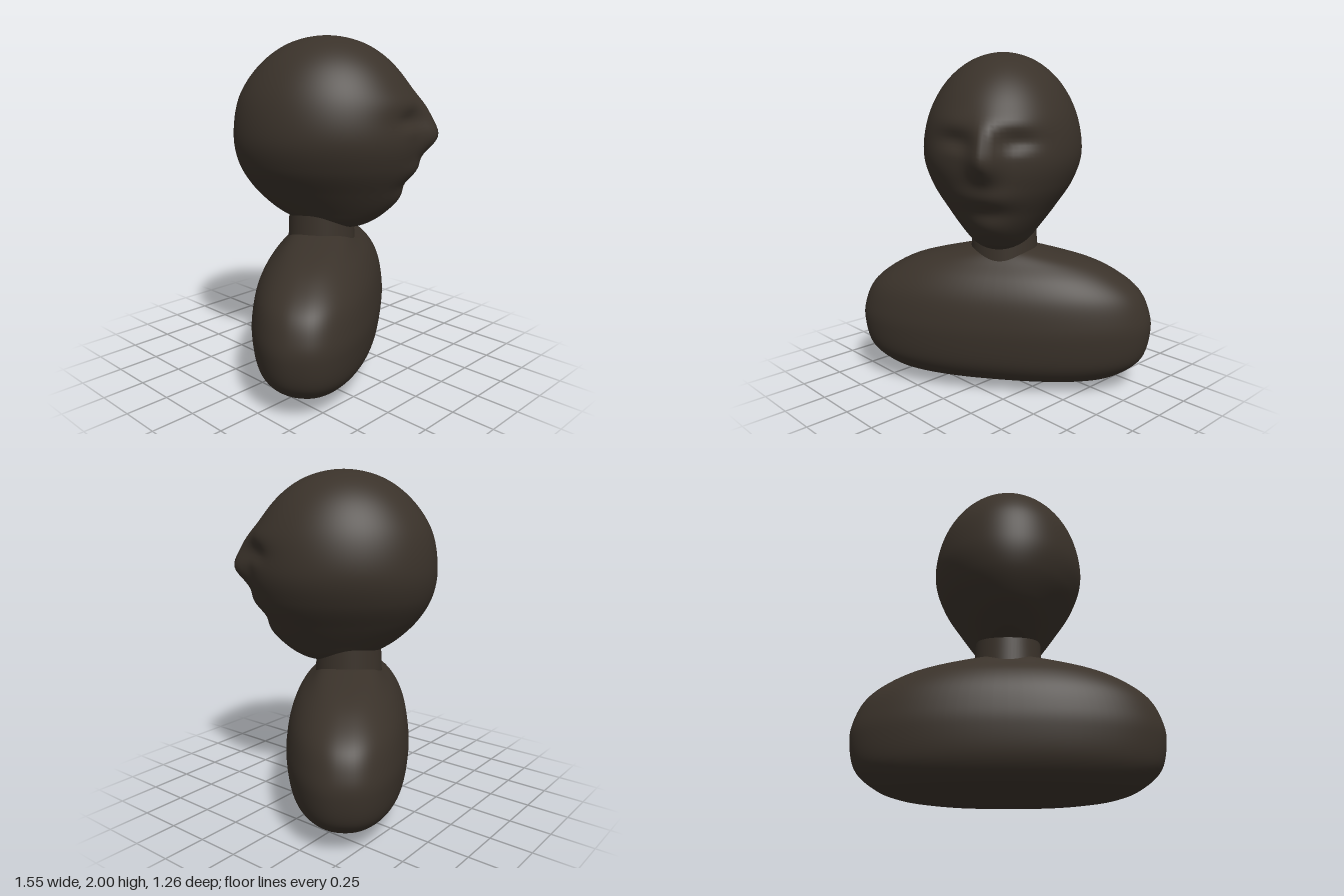
import * as THREE from 'three';
import { mergeVertices } from 'three/addons/utils/BufferGeometryUtils.js';

// Smooth Catmull-Rom lookup in a ring table; radii are mirrored past both poles.
function ringAt(rows, s) {
  const last = rows.length - 1;
  const mirror = ([y, w, c, d, t]) => [y, -w, c, -d, t];
  const row = (i) => (i < 0 ? mirror(rows[-i]) : i > last ? mirror(rows[2 * last - i]) : rows[i]);
  const i = Math.min(Math.floor(s * last), last - 1);
  const f = s * last - i;
  const [a, b, c, d] = [row(i - 1), row(i), row(i + 1), row(i + 2)];
  return b.map((v, k) => v + 0.5 * f * (c[k] - a[k]
    + f * (2 * a[k] - 5 * v + 4 * c[k] - d[k] + f * (3 * (v - c[k]) + d[k] - a[k]))));
}

// Closed smooth form from rings [y, half width, centre z, half depth, tilt];
// a power of 2 gives elliptical rings, more gives boxier ones.
function ringForm(rows, power, relief = () => 0) {
  const geo = new THREE.SphereGeometry(1, 96, 96);
  const pos = geo.attributes.position;
  for (let i = 0; i < pos.count; i++) {
    const s = Math.acos(THREE.MathUtils.clamp(pos.getY(i), -1, 1)) / Math.PI;
    const r = Math.hypot(pos.getX(i), pos.getZ(i));
    const dx = r > 1e-5 ? pos.getX(i) / r : 0;
    const dz = r > 1e-5 ? pos.getZ(i) / r : 0;
    const [y, w, c, d, tilt] = ringAt(rows, s);
    const x = Math.sign(dx) * Math.abs(dx) ** (2 / power) * w;
    const z = c + Math.sign(dz) * Math.abs(dz) ** (2 / power) * d;
    const front = THREE.MathUtils.smoothstep(dz, 0.1, 0.5);
    pos.setXYZ(i, x, y - tilt * z, z + front * relief(x, y));
  }
  geo.deleteAttribute('uv');
  geo.deleteAttribute('normal');
  const merged = mergeVertices(geo, 1e-5);
  merged.computeVertexNormals();
  return merged;
}

// Facial relief: [x, y, spread x, spread y, height], mirrored when x is not 0.
const features = [
  [0, 1.42, 0.055, 0.07, 0.08],      // nose tip
  [0, 1.54, 0.055, 0.08, 0.055],     // nose bridge
  [0.15, 1.62, 0.11, 0.045, 0.014],  // brows
  [0.17, 1.525, 0.08, 0.045, -0.035], // eye sockets
  [0.17, 1.48, 0.06, 0.03, 0.015],   // eyelids
  [0, 1.235, 0.1, 0.04, 0.025],      // lips
  [0, 1.15, 0.1, 0.03, -0.01],       // hollow under the lips
  [0, 1.06, 0.09, 0.05, 0.02],       // chin
];
function faceRelief(x, y) {
  let sum = 0;
  for (const [fx, fy, sx, sy, h] of features) {
    const u = ((fx ? Math.abs(x) : x) - fx) / sx;
    const v = (y - fy) / sy;
    sum += h * Math.exp(-(u * u + v * v) / 2);
  }
  return sum;
}

const headRings = [
  [2, 0, 0.03, 0, 0],
  [1.957, 0.176, 0.03, 0.215, 0],
  [1.836, 0.325, 0.03, 0.39, 0],
  [1.654, 0.425, 0.03, 0.515, 0],
  [1.44, 0.46, 0.03, 0.555, 0],
  [1.27, 0.412, 0.028, 0.53, 0],
  [1.12, 0.315, 0.03, 0.455, 0.02],
  [1.0, 0.225, 0.04, 0.355, 0.05],
  [0.93, 0.165, 0.045, 0.255, 0.08],
  [0.89, 0.09, 0.055, 0.14, 0.09],
  [0.88, 0, 0.06, 0, 0.09],
];

const bodyRings = [
  [0.87, 0, 0], [0.86, 0.15, 0.1], [0.84, 0.27, 0.16], [0.78, 0.53, 0.22],
  [0.7, 0.7, 0.29], [0.6, 0.825, 0.34], [0.48, 0.885, 0.365], [0.36, 0.9, 0.37],
  [0.2, 0.86, 0.345], [0.1, 0.745, 0.28], [0.05, 0.625, 0.195], [0.02, 0.48, 0.11],
  [0, 0.27, 0.05], [0, 0, 0],
].map(([y, w, d]) => [y, w, 0, d, 0]);

export function createModel() {
  const model = new THREE.Group();
  model.name = 'bust';
  const brown = new THREE.MeshStandardMaterial({ color: 0x3a322a });
  brown.name = 'dark brown';

  const add = (name, geometry) => {
    const mesh = new THREE.Mesh(geometry, brown);
    mesh.name = name;
    model.add(mesh);
    return mesh;
  };

  add('head', ringForm(headRings, 2, faceRelief));
  add('shoulders', ringForm(bodyRings, 2.3));
  add('neck', new THREE.CylinderGeometry(0.195, 0.205, 0.25, 64)).position.y = 0.865;

  // The bust is turned toward its left.
  model.rotation.y = THREE.MathUtils.degToRad(36);
  return model;
}
